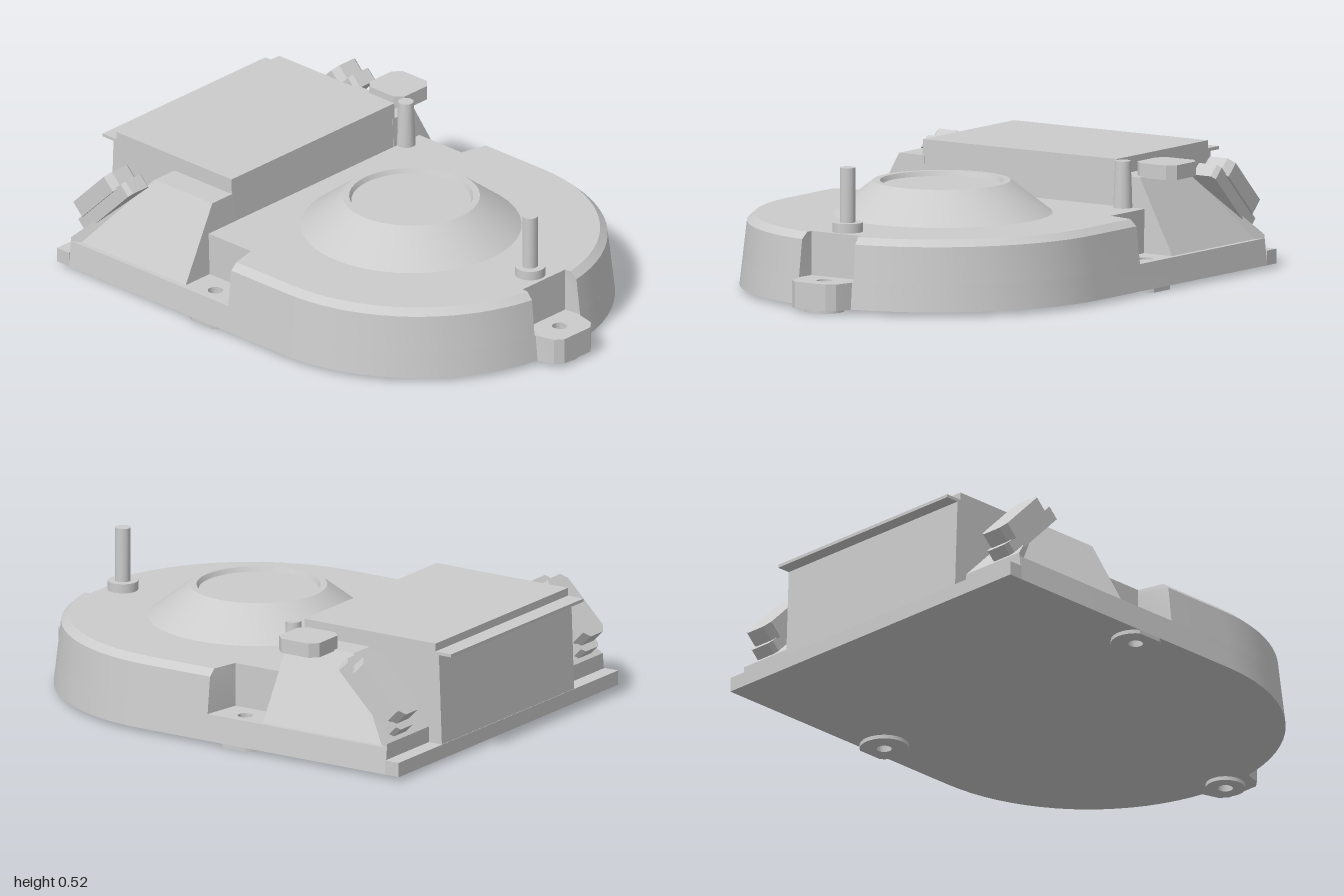
import * as THREE from 'three';
import { toCreasedNormals } from 'three/addons/utils/BufferGeometryUtils.js';

const CX = 0.19, R = 0.73;          // centre and radius of the rounded nose
const HOLES = [[-0.225, 0.655], [-0.225, -0.655], [0.91, 0]];

export function createModel() {
  const model = new THREE.Group();
  const material = new THREE.MeshStandardMaterial({ color: 0xcccccc });

  function add(name, geometry, parent = model) {
    const mesh = new THREE.Mesh(toCreasedNormals(geometry, 0.4), material);
    mesh.name = name;
    parent.add(mesh);
    return mesh;
  }
  const toShape = pts => new THREE.Shape(pts.map(p => new THREE.Vector2(p[0], p[1])));
  const inset = y => 0.115 * (y - 0.015) + Math.max(0, y - 0.255);

  // Plan outline extruded upwards through the given heights
  function plan(shape, levels) {
    const n = levels.length - 1;
    const g = new THREE.ExtrudeGeometry(shape, { depth: n, steps: n, bevelEnabled: false, curveSegments: 20 });
    g.rotateX(-Math.PI / 2);
    const p = g.attributes.position;
    for (let i = 0; i < p.count; i++) p.setY(i, levels[Math.round(p.getY(i))]);
    return g;
  }
  // Draft and top chamfer: pull only the outer wall inwards with height
  function draft(g) {
    const p = g.attributes.position;
    for (let i = 0; i < p.count; i++) {
      const x = p.getX(i), z = p.getZ(i), d = inset(p.getY(i));
      const dx = Math.max(0, x - CX), r = Math.hypot(dx, z);
      if (r < R - 0.005 || r > R + 0.005) continue;
      const k = (r - d) / r;
      p.setX(i, x - dx + dx * k);
      p.setZ(i, z * k);
    }
    return g;
  }
  function punch(shape, x, y) {
    const hole = new THREE.Path();
    hole.absarc(x, y, 0.028, 0, Math.PI * 2, true);
    shape.holes.push(hole);
  }
  // Side profile extruded across z from z0 to z1
  function profile(pts, z0, z1) {
    const g = new THREE.ExtrudeGeometry(toShape(pts), { depth: z1 - z0, bevelEnabled: false });
    return g.translate(0, 0, z0);
  }
  // Points along the nose arc between two angles
  function arc(a0, a1, n) {
    return Array.from({ length: n + 1 }, (_, i) => {
      const a = a0 + (a1 - a0) * i / n;
      return [CX + R * Math.cos(a), R * Math.sin(a)];
    });
  }
  // Rectangle with cut corners
  function cutRect(w, h, c) {
    const a = w / 2, b = h / 2;
    return toShape([[-a + c, -b], [a - c, -b], [a, -b + c], [a, b - c],
      [a - c, b], [-a + c, b], [-a, b - c], [-a, -b + c]]);
  }

  // Base slab with the front lug and three through holes
  const A = Math.asin(0.12 / R);
  const base = toShape([[-0.9, -R], ...arc(-Math.PI / 2, -A, 18),
    [0.96, -0.105], [0.975, -0.1], [1, -0.07], [1, 0.07], [0.975, 0.1], [0.96, 0.105],
    ...arc(A, Math.PI / 2, 18), [-0.9, R]]);
  HOLES.forEach(h => punch(base, h[0], h[1]));
  add('base', draft(plan(base, [0.015, 0.115])));

  // Rear sill
  add('rearSill', new THREE.BoxGeometry(0.06, 0.055, 2 * R).translate(-0.93, 0.0425, 0));

  // Main housing, cut back around the three fixing points
  const B = Math.asin(0.125 / R);
  const housing = toShape([[-0.34, -0.57], [-0.125, -0.57], [-0.1, -R],
    ...arc(-Math.PI / 2, -B, 18), [0.83, -0.115], [0.83, 0.115],
    ...arc(B, Math.PI / 2, 18), [-0.1, R], [-0.125, 0.57], [-0.34, 0.57]]);
  add('housing', draft(plan(housing, [0.115, 0.255, 0.28])));

  // Thin foot pads under the fixing holes, cut flush with the side walls
  HOLES.forEach(([x, z], i) => {
    const r = i < 2 ? 0.092 : 0.074;
    const pts = Array.from({ length: 32 }, (_, k) => {
      const a = k / 32 * Math.PI * 2;
      return [x + r * Math.cos(a), THREE.MathUtils.clamp(-z + r * Math.sin(a), -R, R)];
    });
    const pad = toShape(pts);
    punch(pad, x, -z);
    add('footPad', plan(pad, [0, 0.015]));
  });

  // Central rear cover with its overhanging lip
  add('rearCover', profile([[-0.96, 0.02], [-0.335, 0.02], [-0.345, 0.455], [-0.93, 0.455],
    [-0.93, 0.425], [-1, 0.425], [-1, 0.413], [-0.945, 0.413]], -0.44, 0.44));

  // Shoulders and their sloping clips on both sides
  for (const side of [1, -1]) {
    const name = side > 0 ? 'left' : 'right';
    const pts = [[-0.9, 0.07], [-0.333, 0.07], [-0.343, 0.395], [-0.635, 0.395], [-0.9, 0.13]];
    const g = side > 0 ? profile(pts, 0.43, R) : profile(pts, -R, -0.43);
    add(name + 'Shoulder', draft(g));

    const clip = new THREE.Group();
    clip.name = name + 'Clip';
    clip.position.set(-0.9, 0.13, side * 0.615);
    clip.rotation.z = Math.PI / 4;
    model.add(clip);
    add('clipBase', plan(cutRect(0.335, 0.11, 0.015), [-0.01, 0.045]).translate(0.185, 0, 0), clip);
    add('clipBody', plan(cutRect(0.27, 0.13, 0.025), [0.04, 0.105]).translate(0.18, 0, 0), clip);
  }

  // Raised pad on the right shoulder
  add('shoulderPad', plan(cutRect(0.18, 0.18, 0.03), [0.39, 0.445]).translate(-0.46, 0, -0.585));

  // Conical dome with a shallow recessed top
  const dome = [[0.41, 0.275], [0.41, 0.28], [0.255, 0.4], [0.23, 0.4], [0.222, 0.382], [0, 0.382]]
    .map(p => new THREE.Vector2(p[0], p[1]));
  add('dome', new THREE.LatheGeometry(dome, 40).translate(0.155, 0, 0));

  // Front pin on a collar, and the short rear post
  add('pinCollar', new THREE.CylinderGeometry(0.057, 0.057, 0.04, 28).translate(0.76, 0.295, 0));
  add('pin', new THREE.CylinderGeometry(0.029, 0.029, 0.22, 24).translate(0.76, 0.41, 0));
  add('rearPost', new THREE.CylinderGeometry(0.029, 0.036, 0.18, 24).translate(-0.325, 0.365, -0.482));

  return model;
}
